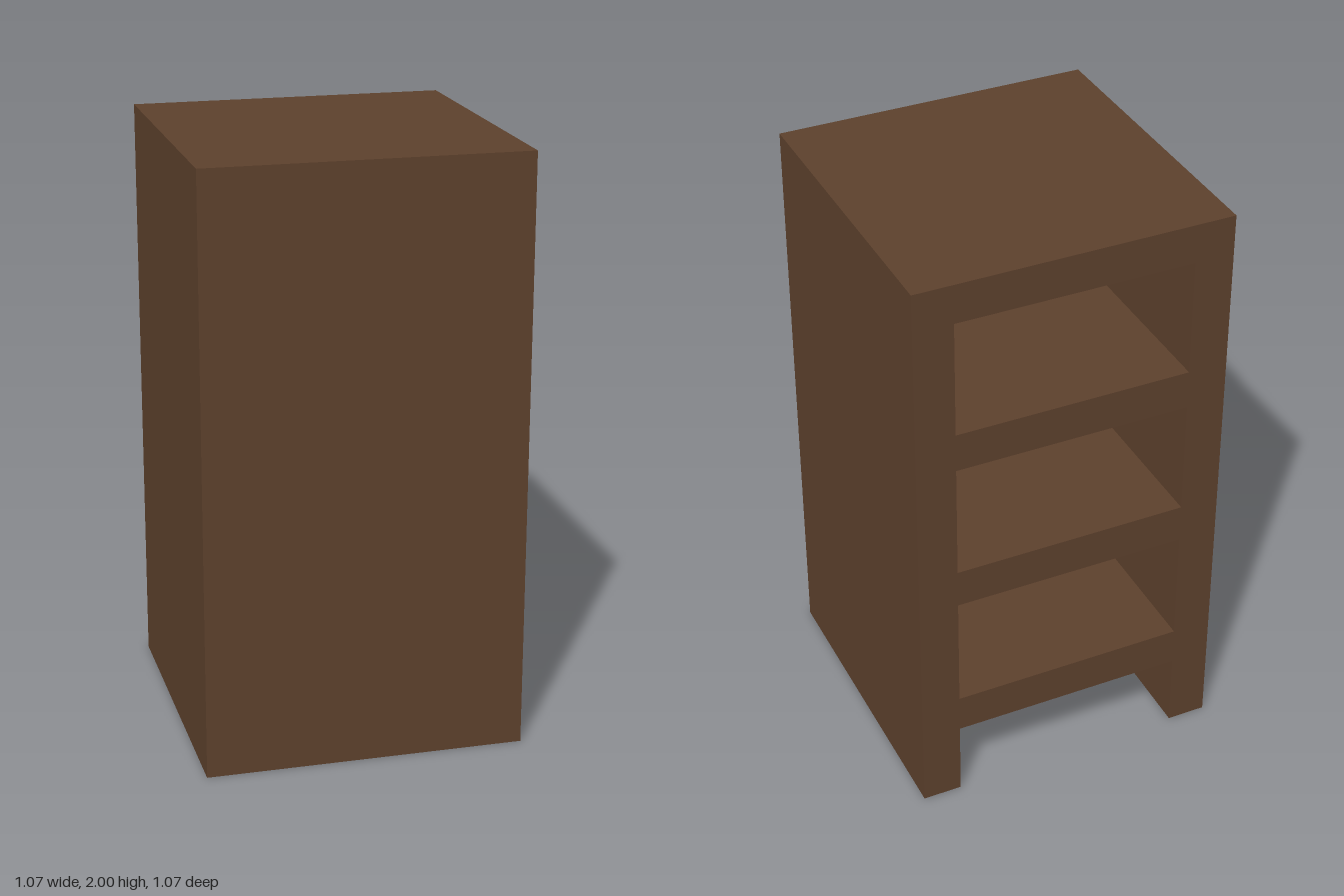
import * as THREE from 'three';

const W = 1.0667, H = 2, T = 0.1333; // outer width and depth, height, board thickness
const OPENING = 0.4;                 // height of each compartment

export function createModel() {
  const model = new THREE.Group();
  model.name = 'shelfCabinet';
  const wood = new THREE.MeshStandardMaterial({ color: 0x5c402c });
  wood.name = 'dark brown wood';

  const add = (name, geometry, z) => {
    const mesh = new THREE.Mesh(geometry, wood);
    mesh.name = name;
    mesh.position.z = z;
    model.add(mesh);
  };

  const half = W / 2, inner = half - T;
  const legTop = H - T - 3 * (OPENING + T); // underside of the lowest shelf

  // Frame outline with a floorless gap between the two legs
  const frame = new THREE.Shape([
    [-half, 0], [-inner, 0], [-inner, legTop], [inner, legTop],
    [inner, 0], [half, 0], [half, H], [-half, H],
  ].map(([x, y]) => new THREE.Vector2(x, y)));

  // Three compartments separated by thick shelves
  for (let i = 0; i < 3; i++) {
    const y0 = legTop + T + i * (OPENING + T), y1 = y0 + OPENING;
    frame.holes.push(new THREE.Path([
      [-inner, y0], [-inner, y1], [inner, y1], [inner, y0],
    ].map(([x, y]) => new THREE.Vector2(x, y))));
  }

  // Sides, top and shelves, open at the back
  add('shelfFrame', new THREE.ExtrudeGeometry(frame, { depth: W - T, bevelEnabled: false }), -half);

  // Solid panel closing the front
  add('frontPanel', new THREE.BoxGeometry(W, H, T).translate(0, H / 2, 0), half - T / 2);

  return model;
}
